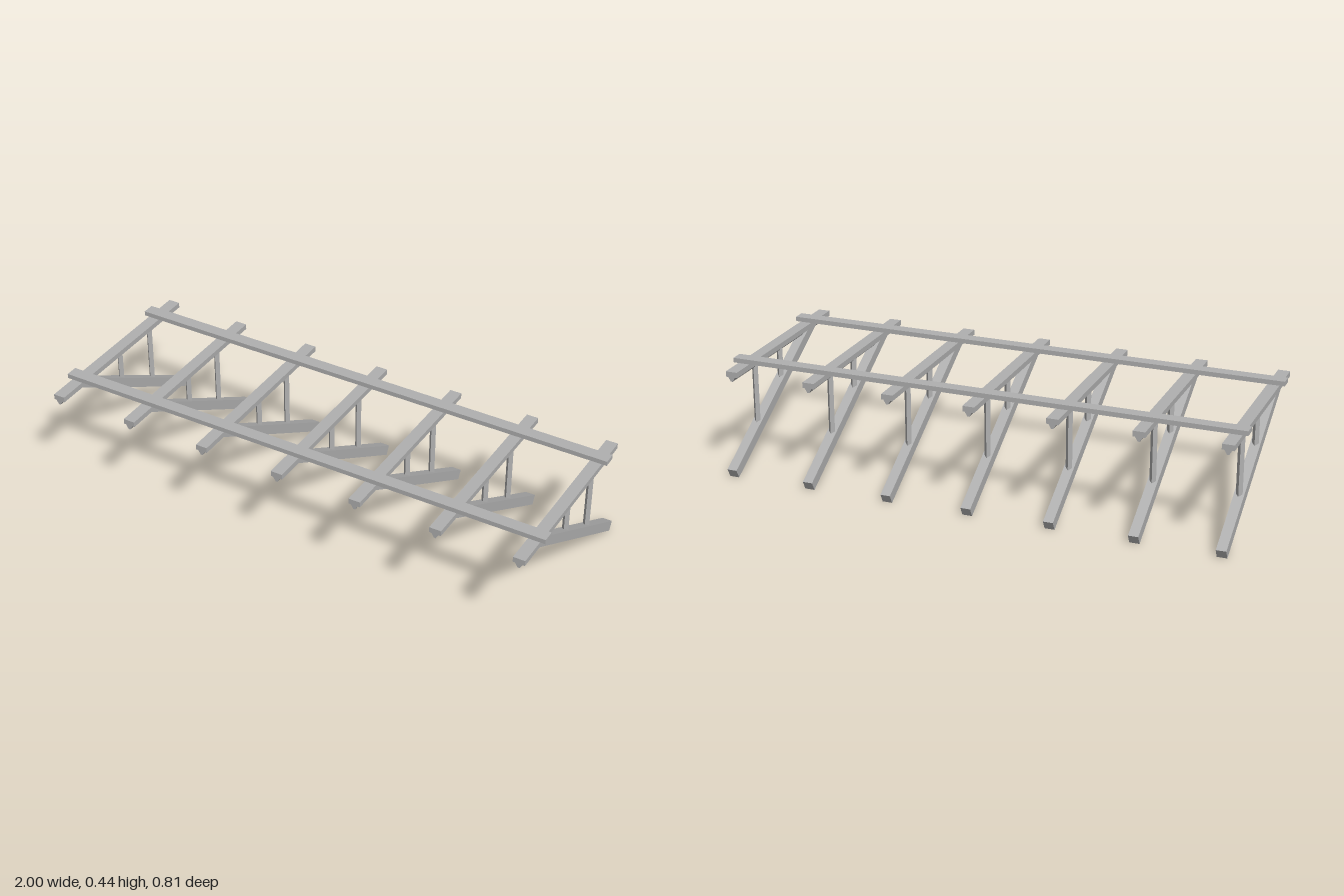
import * as THREE from 'three';

const steel = new THREE.MeshStandardMaterial({ color: 0xb0b0b0 });
steel.name = 'grey steel';

// Extrude a closed outline by a depth, centred on the extrusion axis
function prism(points, depth) {
  const shape = new THREE.Shape(points.map(([x, y]) => new THREE.Vector2(x, y)));
  return new THREE.ExtrudeGeometry(shape, { depth, bevelEnabled: false }).translate(0, 0, -depth / 2);
}

function part(name, geometry, x, y, z) {
  const mesh = new THREE.Mesh(geometry, steel);
  mesh.name = name;
  mesh.position.set(x, y, z);
  return mesh;
}

export function createModel() {
  const model = new THREE.Group();
  model.name = 'rackFrame';

  const shoulder = 0.397; // underside of the rafter flange
  const rafterTop = 0.418;

  // Rafter section: flat flange with a tapered keel below
  const rafter = prism([
    [-0.023, rafterTop], [-0.023, shoulder], [-0.014, shoulder], [-0.004, 0.38],
    [0.004, 0.38], [0.014, shoulder], [0.023, shoulder], [0.023, rafterTop],
  ], 0.775);

  // Sloping brace in side outline (z, y), cut flat under the rafter
  const brace = prism([
    [0.295, shoulder], [-0.387, 0], [-0.405, 0.034], [0.221, shoulder],
  ], 0.038).rotateY(-Math.PI / 2);

  // Square post turned on its corner, its foot sunk into the brace
  const postAt = (z) => {
    const foot = shoulder - (0.221 - z) * 0.58 - 0.012;
    const height = shoulder - foot;
    const geometry = new THREE.BoxGeometry(0.0177, height, 0.0177).rotateY(Math.PI / 4);
    return { geometry, y: foot + height / 2, z };
  };
  const posts = { frontPost: postAt(0.013), rearPost: postAt(-0.188) };

  // Seven identical support frames
  for (let i = -3; i <= 3; i++) {
    const frame = new THREE.Group();
    frame.name = 'supportFrame';
    frame.position.x = i * 0.319;
    frame.add(part('rafter', rafter, 0, 0, 0.018));
    frame.add(part('brace', brace, 0, 0, 0));
    for (const [name, p] of Object.entries(posts)) frame.add(part(name, p.geometry, 0, p.y, p.z));
    model.add(frame);
  }

  // Long rails lying across the rafters
  const rail = new THREE.BoxGeometry(2, 0.018, 0.048);
  model.add(part('frontRail', rail, 0, rafterTop + 0.009, 0.266));
  model.add(part('rearRail', rail, 0, rafterTop + 0.009, -0.248));
  return model;
}
